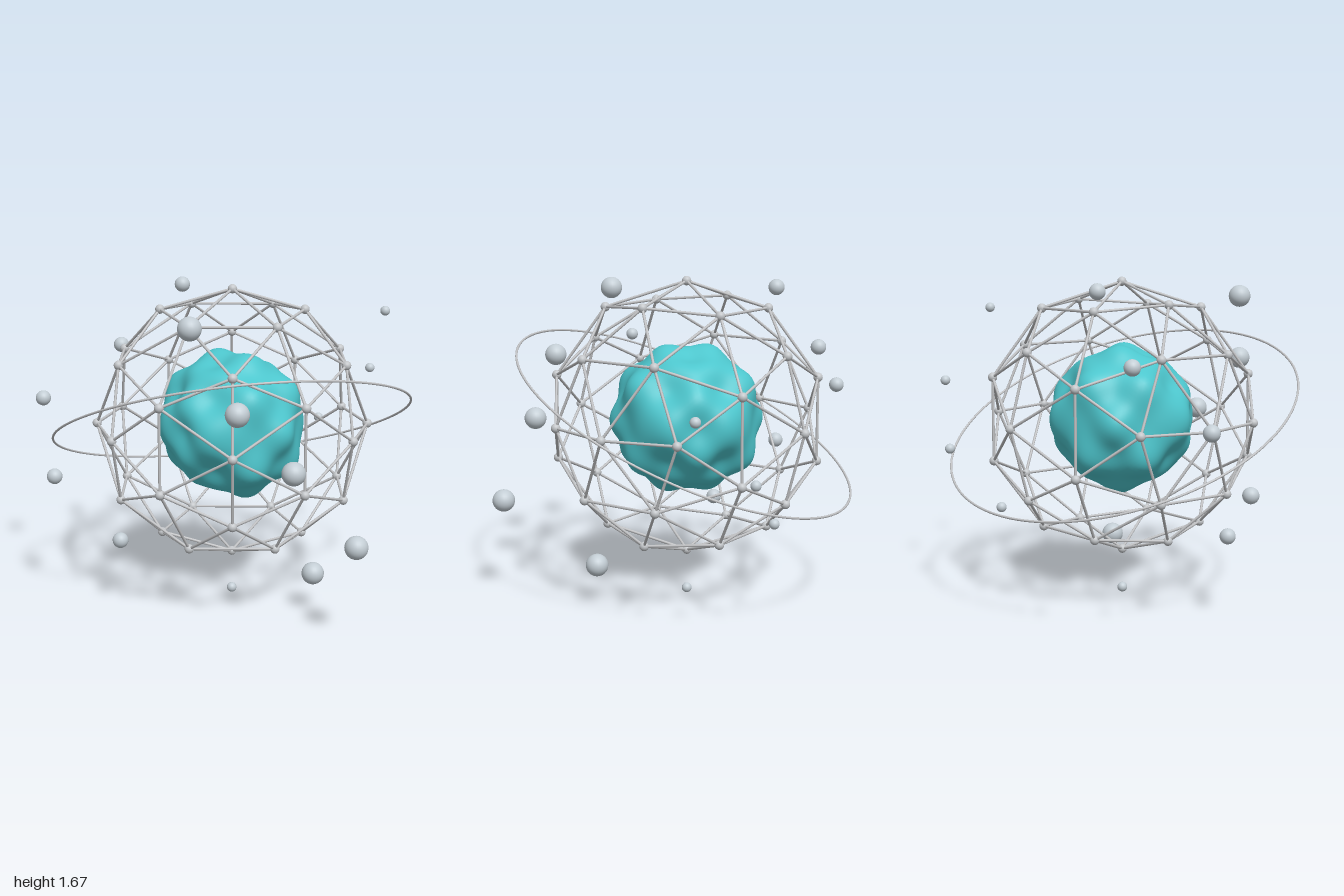
import * as THREE from 'three';
import { mergeVertices } from 'three/addons/utils/BufferGeometryUtils.js';

const mat = (name, color) => {
  const m = new THREE.MeshStandardMaterial({ color });
  m.name = name;
  return m;
};

const CENTER = new THREE.Vector3(0.067, 0.94, -0.03);
const CAGE_RADIUS = 0.705;

export function createModel() {
  const teal = mat('teal', 0x4dc6cd);
  const metal = mat('strutGrey', 0xc2c3c5);
  const nodeGrey = mat('nodeGrey', 0xc3c6c9);
  const pale = mat('satelliteGrey', 0xc3cdd4);

  const model = new THREE.Group();
  model.name = 'cagedCore';
  const add = (parent, name, geometry, material) => {
    const mesh = new THREE.Mesh(geometry, material);
    mesh.name = name;
    parent.add(mesh);
    return mesh;
  };

  const center = new THREE.Group();
  center.name = 'center';
  center.position.copy(CENTER);
  model.add(center);

  // Core: sphere with a regular wave pushed along its normals
  let core = new THREE.IcosahedronGeometry(1, 20);
  core.deleteAttribute('normal');
  core.deleteAttribute('uv');
  core = mergeVertices(core, 1e-4);
  const pos = core.attributes.position;
  const v = new THREE.Vector3();
  for (let i = 0; i < pos.count; i++) {
    v.fromBufferAttribute(pos, i).normalize();
    const wave = Math.sin(6 * v.x) * Math.cos(6 * v.y) * Math.sin(6 * v.z);
    v.multiplyScalar(0.37 + 0.037 * wave);
    pos.setXYZ(i, v.x, v.y, v.z);
  }
  core.computeVertexNormals();
  add(center, 'core', core, teal);

  // Cage: one strut per edge and one ball per corner of a geodesic sphere
  const cage = new THREE.Group();
  cage.name = 'cage';
  center.add(cage);
  const ico = new THREE.IcosahedronGeometry(CAGE_RADIUS, 1);
  const edges = new THREE.EdgesGeometry(ico, 1).attributes.position;
  const strutGeometry = new THREE.CylinderGeometry(0.0072, 0.0072, 1, 8, 1, true);
  const nodeGeometry = new THREE.SphereGeometry(0.024, 16, 12);
  const up = new THREE.Vector3(0, 1, 0);
  const nodes = new Map();
  for (let i = 0; i < edges.count; i += 2) {
    const a = new THREE.Vector3().fromBufferAttribute(edges, i);
    const b = new THREE.Vector3().fromBufferAttribute(edges, i + 1);
    const strut = add(cage, 'strut', strutGeometry, metal);
    strut.position.addVectors(a, b).multiplyScalar(0.5);
    strut.scale.y = a.distanceTo(b);
    strut.quaternion.setFromUnitVectors(up, b.clone().sub(a).normalize());
    for (const p of [a, b]) {
      const key = p.toArray().map((c) => Math.round(c * 1000) + 0).join();
      nodes.set(key, p);
    }
  }
  for (const p of nodes.values()) add(cage, 'node', nodeGeometry, nodeGrey).position.copy(p);

  // Tilted orbit ring
  const ring = add(center, 'orbitRing', new THREE.TorusGeometry(0.933, 0.006, 8, 128), metal);
  ring.quaternion.setFromUnitVectors(
    new THREE.Vector3(0, 0, 1),
    new THREE.Vector3(-0.11, 0.904, -0.417).normalize()
  );

  // Satellites: three sizes, scattered around the cage
  const satellites = [
    [0.058, [[-0.135, 1.557, 0.615], [0.088, 1.198, 0.83], [0.353, 0.895, 0.752], [0.66, 0.515, 0.71], [0.485, 0.207, 0.237]]],
    [0.041, [[-0.2, 1.612, -0.398], [-0.537, 1.272, -0.455], [-0.957, 1.0, -0.335], [-0.865, 0.658, 0.005], [-0.51, 0.37, 0.192]]],
    [0.026, [[0.067, 0.026, -0.03], [0.243, 0.515, -0.675], [0.567, 0.785, -0.773], [0.84, 1.108, -0.625], [0.879, 1.485, -0.306]]],
  ];
  for (const [radius, places] of satellites) {
    const geometry = new THREE.SphereGeometry(radius, 24, 16);
    for (const p of places) add(model, 'satellite', geometry, pale).position.set(...p);
  }

  return model;
}
